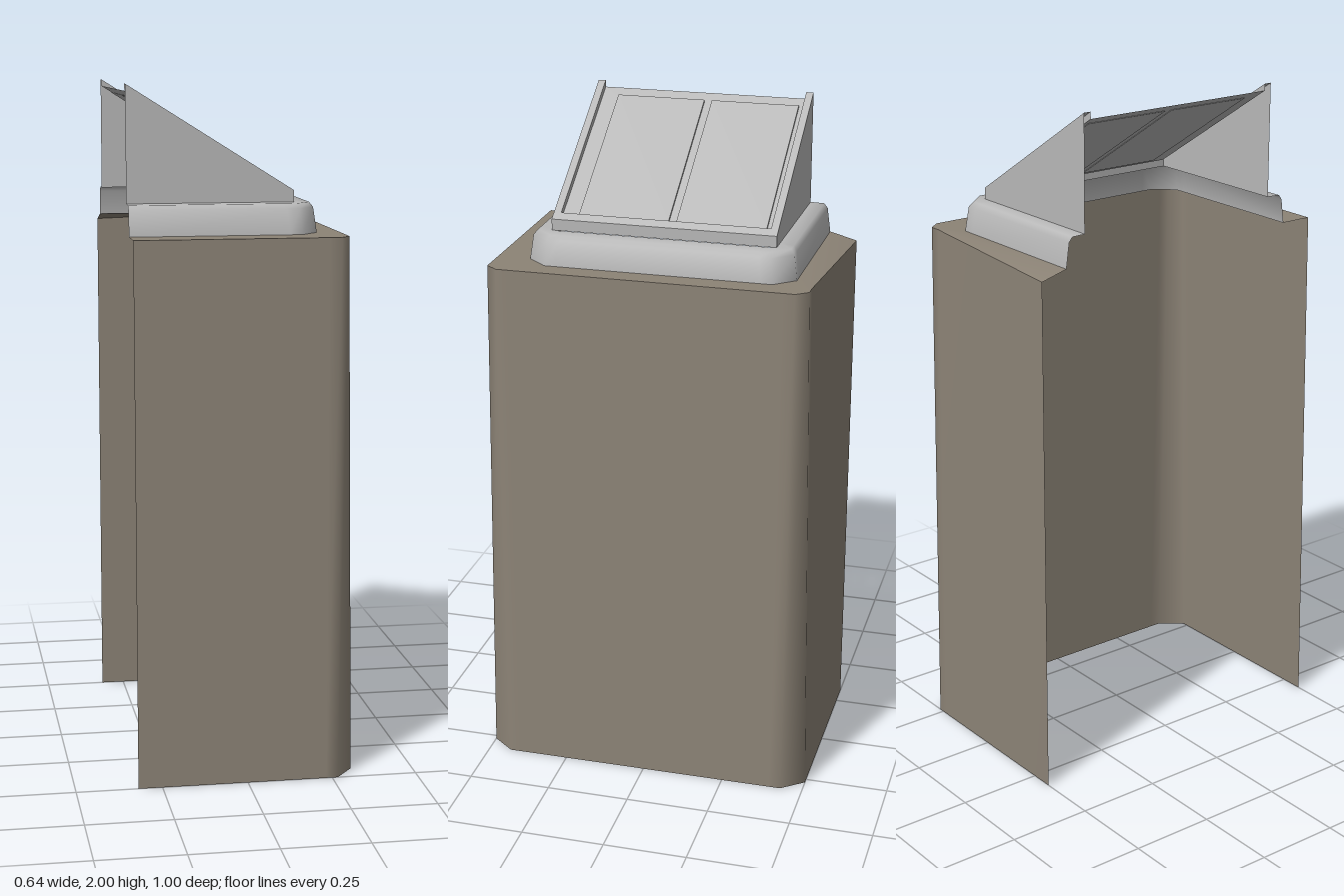
import * as THREE from 'three';
import { toCreasedNormals } from 'three/addons/utils/BufferGeometryUtils.js';

const BACK = -0.32; // open side of the shell

// Open three-sided outline with chamfered corners, running front -> side -> rear
function outline(y, xm, zf, zb, cx, cz) {
  const e = 0.035;
  return [
    [BACK, y, zf], [xm - cx - e, y, zf], [xm - cx, y, zf], [xm, y, zf - cz], [xm, y, zf - cz - e],
    [xm, y, zb + cz + e], [xm, y, zb + cz], [xm - cx, y, zb], [xm - cx - e, y, zb], [BACK, y, zb],
  ];
}

// Skin a list of matching point rows
function loft(rows, crease = 1.1) {
  const pos = [];
  for (let r = 0; r < rows.length - 1; r++) {
    const a = rows[r], b = rows[r + 1];
    for (let i = 0; i < a.length - 1; i++) {
      pos.push(...a[i], ...a[i + 1], ...b[i + 1], ...a[i], ...b[i + 1], ...b[i]);
    }
  }
  const g = new THREE.BufferGeometry();
  g.setAttribute('position', new THREE.Float32BufferAttribute(pos, 3));
  g.computeVertexNormals();
  return toCreasedNormals(g, crease);
}

export function createModel() {
  const group = new THREE.Group();
  const brown = new THREE.MeshStandardMaterial({ color: 0x8c8376, side: THREE.DoubleSide });
  brown.name = 'warm stone brown';
  const grey = new THREE.MeshStandardMaterial({ color: 0xb8b8b8, side: THREE.DoubleSide });
  grey.name = 'light grey';

  const add = (name, geometry, material) => {
    const mesh = new THREE.Mesh(geometry, material);
    mesh.name = name;
    group.add(mesh);
    return mesh;
  };

  // Tapered body; its rear free corner stays out at full depth
  const bodyBottom = outline(0, 0.32, 0.5, -0.5, 0.053, 0.067);
  const bodyTop = outline(1.577, 0.297, 0.473, -0.473, 0.028, 0.035);
  bodyTop[9] = [BACK, 1.555, -0.5];
  add('bodyWalls', loft([bodyBottom, bodyTop]), brown);

  // Ledge around the foot of the plinth
  const plinthFoot = outline(1.577, 0.229, 0.374, -0.418, 0.053, 0.06);
  add('bodyLedge', loft([bodyTop, plinthFoot]), brown);

  // Plinth with a softened upper edge
  add('plinth', loft([
    plinthFoot,
    outline(1.65, 0.219, 0.364, -0.408, 0.05, 0.057),
    outline(1.664, 0.208, 0.353, -0.397, 0.047, 0.053),
    outline(1.665, 0.165, 0.31, -0.355, 0.012, 0.012),
  ]), grey);

  // Sloping head: outer walls, rim and recess
  const slope = 0.625;
  const slopeY = (x) => 2 - slope * (x - BACK);
  const rect = (xm, zf, zb, yOf) =>
    [[BACK, zf], [xm, zf], [xm, zb], [BACK, zb]].map(([x, z]) => [x, yOf(x), z]);
  const recessY = (x) => slopeY(x) - 0.02;
  add('headWallsAndRim', loft([
    rect(0.163, 0.31, -0.355, () => 1.665),
    rect(0.163, 0.31, -0.355, slopeY),
    rect(0.14, 0.288, -0.333, slopeY),
    rect(0.14, 0.288, -0.333, recessY),
  ], 0.5), grey);

  // Sloping face inside the rim
  const row = (z) => [BACK, 0.14].map((x) => [x, recessY(x), z]);
  add('slopingFace', loft([row(0.288), row(-0.333)], 0.5), grey);

  // Two thin raised panels on the sloping face
  const angle = Math.atan(slope);
  const x0 = -0.288, x1 = 0.128, mid = (x0 + x1) / 2;
  [[-0.03, 0.238, 'frontPanel'], [-0.318, -0.053, 'rearPanel']].forEach(([za, zb, name]) => {
    const panel = add(name, new THREE.BoxGeometry((x1 - x0) / Math.cos(angle), 0.008, zb - za), grey);
    panel.position.set(mid, recessY(mid) + 0.003, (za + zb) / 2);
    panel.rotation.z = -angle;
  });

  return group;
}
